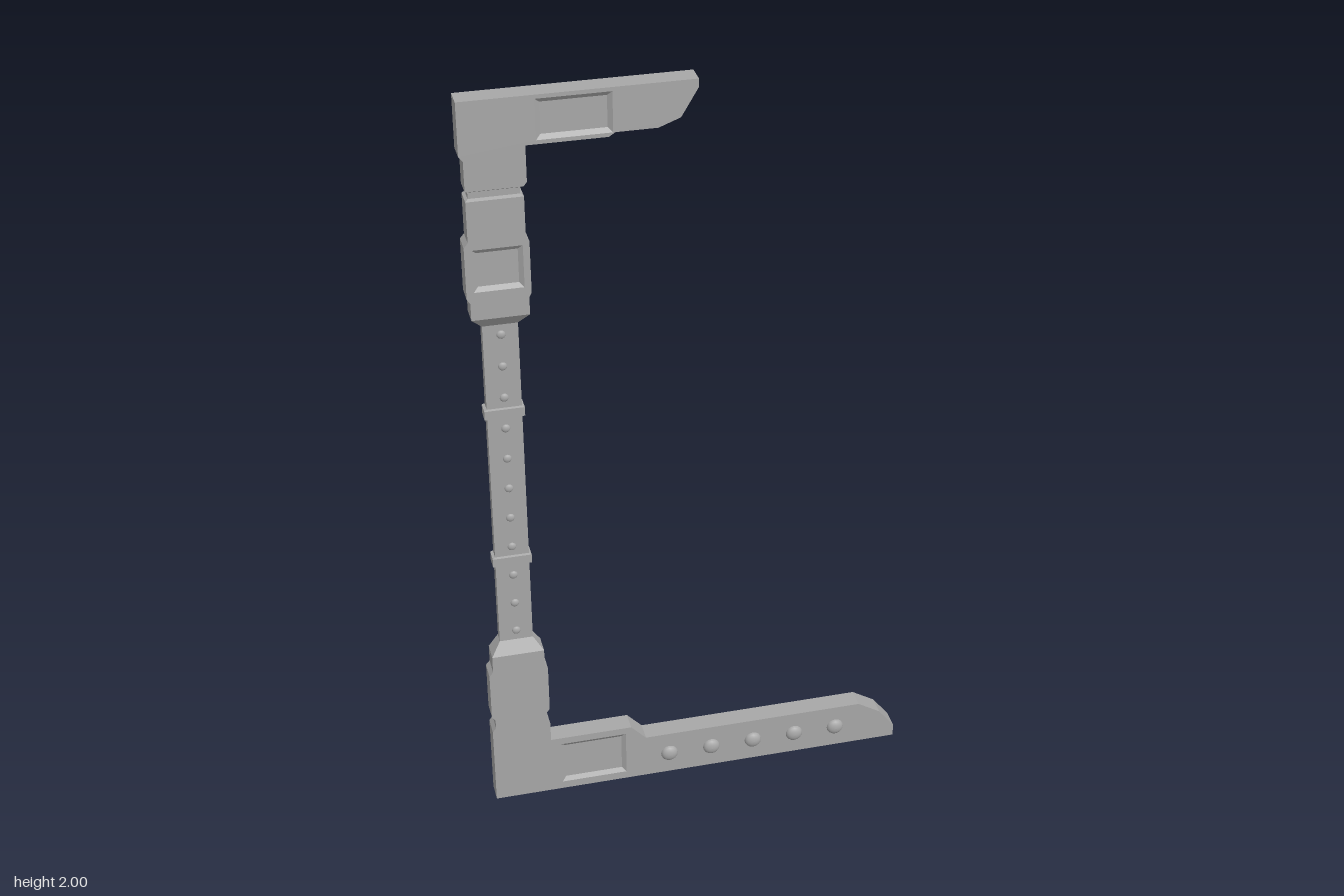
import * as THREE from 'three';

const FRONT = 0.02, BACK = -0.034;
const steel = new THREE.MeshStandardMaterial({ color: 0xa8a8a8, side: THREE.DoubleSide });
steel.name = 'grey metal';

// Geometry with flat normals from a list of four-cornered faces
function quads(list) {
  const pos = [];
  for (const [a, b, c, d] of list) pos.push(...a, ...b, ...c, ...a, ...c, ...d);
  const g = new THREE.BufferGeometry();
  g.setAttribute('position', new THREE.Float32BufferAttribute(pos, 3));
  g.computeVertexNormals();
  return g;
}

function add(parent, name, geometry) {
  const m = new THREE.Mesh(geometry, steel);
  m.name = name;
  parent.add(m);
  return m;
}

// Open-backed casing: front plate with one recessed panel, and side walls.
// Edges whose index is in "open" get no wall.
function casing(parent, name, outline, panel, open) {
  const group = new THREE.Group();
  group.name = name;
  parent.add(group);
  const [x0, x1, y0, y1] = panel;
  const rect = (s) => [[x0 + s, y0 + s], [x1 - s, y0 + s], [x1 - s, y1 - s], [x0 + s, y1 - s]];
  const shape = new THREE.Shape(outline.map((p) => new THREE.Vector2(...p)));
  shape.holes.push(new THREE.Path(rect(0).map((p) => new THREE.Vector2(...p))));
  add(group, name + 'Plate', new THREE.ShapeGeometry(shape).translate(0, 0, FRONT));

  // side walls
  const walls = [];
  outline.forEach((a, i) => {
    if (open.includes(i)) return;
    const b = outline[(i + 1) % outline.length];
    walls.push([[...a, FRONT], [...a, BACK], [...b, BACK], [...b, FRONT]]);
  });
  add(group, name + 'Walls', quads(walls));

  // sloped recess and its floor
  const outer = rect(0).map((p) => [...p, FRONT]);
  const inner = rect(0.011).map((p) => [...p, FRONT - 0.008]);
  const faces = outer.map((o, i) => {
    const j = (i + 1) % 4;
    return [o, outer[j], inner[j], inner[i]];
  });
  add(group, name + 'Panel', quads([...faces, inner]));
}

// Open-backed channel running upward; sections are [y, left, right, front, back]
function channel(parent, name, sections) {
  const rows = sections.map(([y, l, r, f, b = BACK]) =>
    [[l, y, b], [l, y, f], [r, y, f], [r, y, b]]);
  const faces = [];
  for (let k = 0; k + 1 < rows.length; k++) {
    for (let i = 0; i < 3; i++) {
      faces.push([rows[k][i], rows[k][i + 1], rows[k + 1][i + 1], rows[k + 1][i]]);
    }
  }
  add(parent, name, quads(faces));
}

// Flattened dome
function stud(parent, name, x, y, z, radius, height) {
  const profile = [];
  for (let i = 0; i <= 6; i++) {
    const a = (i / 6) * Math.PI / 2;
    profile.push(new THREE.Vector2(Math.max(radius * Math.cos(a), 0), height * Math.sin(a)));
  }
  const g = new THREE.LatheGeometry(profile, 16).rotateX(Math.PI / 2);
  add(parent, name, g).position.set(x, y, z);
}

export function createModel() {
  const model = new THREE.Group();
  model.name = 'bracketFrame';

  // lower corner with the long foot
  casing(model, 'lowerBracket', [
    [-0.545, 0.467], [-0.545, 0.42], [-0.555, 0.408], [-0.555, 0.275], [-0.546, 0.263],
    [-0.546, 0.238], [-0.555, 0.225], [-0.555, 0], [0.553, 0], [0.553, 0.035],
    [0.51, 0.09], [0.45, 0.127], [-0.145, 0.127], [-0.185, 0.17], [-0.402, 0.17],
    [-0.402, 0.225], [-0.41, 0.238], [-0.41, 0.263], [-0.402, 0.275], [-0.402, 0.408],
    [-0.41, 0.42], [-0.41, 0.467],
  ], [-0.375, -0.2, 0.022, 0.15], [21]);

  // upper corner with the short arm
  casing(model, 'upperBracket', [
    [-0.545, 1.78], [-0.41, 1.78], [-0.402, 1.79], [-0.402, 1.88], [-0.21, 1.88],
    [-0.195, 1.89], [-0.095, 1.89], [-0.042, 1.91], [0, 1.98], [0, 2],
    [-0.555, 2], [-0.555, 1.868], [-0.545, 1.855],
  ], [-0.377, -0.2, 1.89, 1.99], [0]);

  // sleeve below the upper corner
  casing(model, 'upperSleeve', [
    [-0.547, 1.45], [-0.408, 1.45], [-0.408, 1.495], [-0.402, 1.507], [-0.402, 1.64],
    [-0.41, 1.652], [-0.41, 1.755], [-0.545, 1.755], [-0.545, 1.652], [-0.555, 1.64],
    [-0.555, 1.507], [-0.547, 1.495],
  ], [-0.537, -0.418, 1.523, 1.632], [0, 6]);
  channel(model, 'sleeveGroove', [
    [1.755, -0.545, -0.41, FRONT], [1.759, -0.538, -0.417, 0.011],
    [1.775, -0.538, -0.417, 0.011], [1.78, -0.545, -0.41, FRONT],
  ]);

  // tapers leading into the shaft
  channel(model, 'lowerTaper', [[0.467, -0.545, -0.41, FRONT], [0.5, -0.52, -0.434, -0.002]]);
  channel(model, 'upperTaper', [[1.42, -0.52, -0.434, -0.002], [1.45, -0.547, -0.408, FRONT]]);

  // shaft with two clamps
  channel(model, 'shaft', [[0.5, -0.52, -0.434, -0.002, -0.03], [1.42, -0.52, -0.434, -0.002, -0.03]]);
  for (const y of [0.747, 1.178]) {
    channel(model, 'clamp', [
      [y - 0.014, -0.52, -0.434, -0.002], [y - 0.012, -0.527, -0.428, 0.004],
      [y + 0.012, -0.527, -0.428, 0.004], [y + 0.014, -0.52, -0.434, -0.002],
    ]);
  }

  // rows of studs on the shaft and the foot
  for (let i = 0; i < 11; i++) stud(model, 'shaftStud', -0.476, 0.528 + i * 0.0865, -0.002, 0.011, 0.006);
  for (let i = 0; i < 5; i++) stud(model, 'footStud', -0.081 + i * 0.1162, 0.063, FRONT, 0.023, 0.014);

  return model;
}
